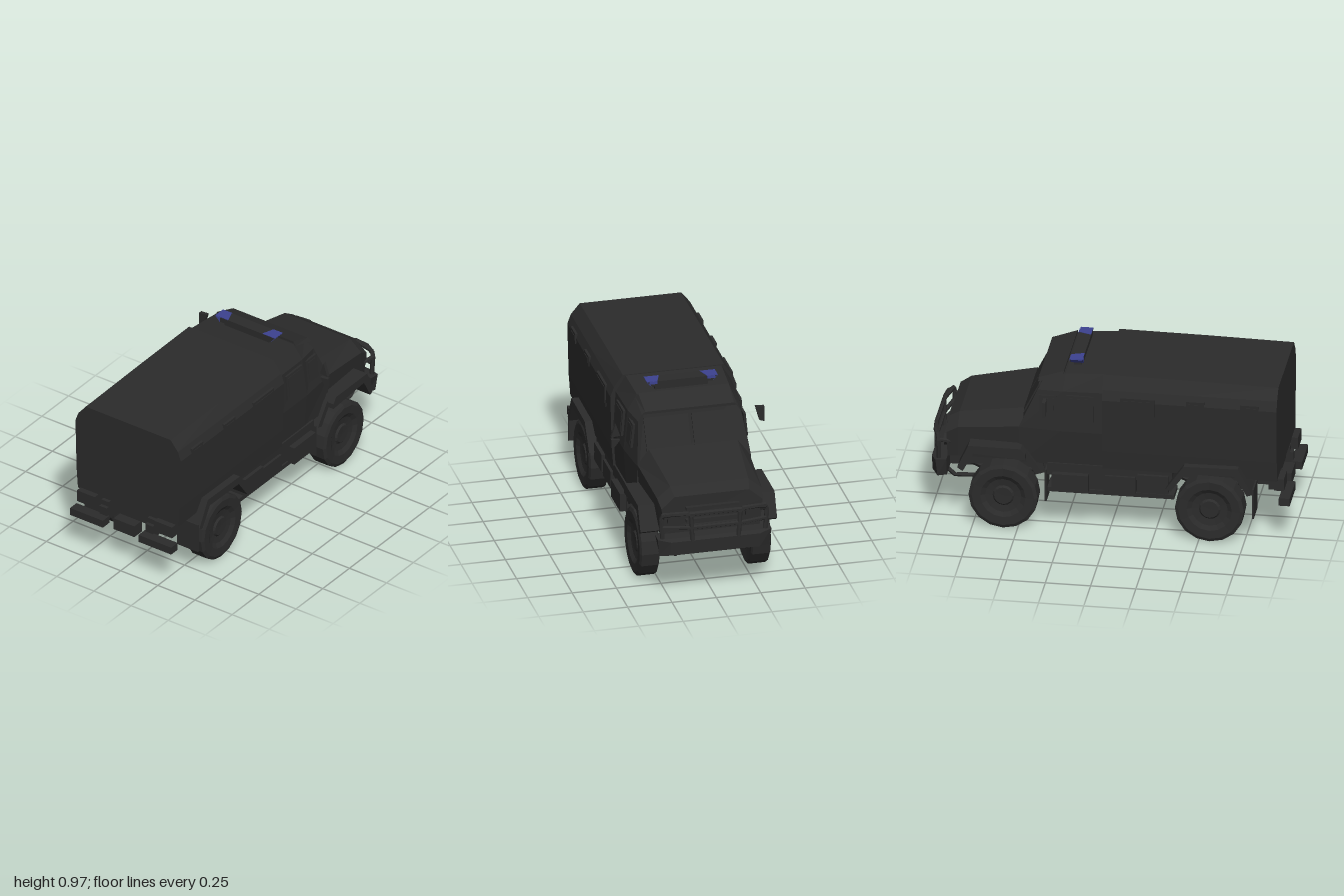
import * as THREE from 'three';

const paint = new THREE.MeshStandardMaterial({ color: 0x2b2b2b });
paint.name = 'charcoalPaint';
const blue = new THREE.MeshStandardMaterial({ color: 0x3c4290 });
blue.name = 'blueLens';

export function createModel() {
  const root = new THREE.Group();
  root.name = 'armouredTruck';

  // Faceted mesh from any geometry
  function add(name, geo, mat = paint, parent = root) {
    const g = geo.index ? geo.toNonIndexed() : geo;
    g.computeVertexNormals();
    const m = new THREE.Mesh(g, mat);
    m.name = name;
    parent.add(m);
    return m;
  }
  // Box given by its limits
  function box(name, x0, x1, y0, y1, z0, z1, mat) {
    const m = add(name, new THREE.BoxGeometry(x1 - x0, y1 - y0, z1 - z0), mat);
    m.position.set((x0 + x1) / 2, (y0 + y1) / 2, (z0 + z1) / 2);
    return m;
  }
  const boxPair = (name, x0, x1, ...rest) => {
    box(name + 'Left', x0, x1, ...rest);
    box(name + 'Right', -x1, -x0, ...rest);
  };
  // Closed loft: each ring is its +x half, bottom to top, mirrored; rings run towards -z
  function loft(name, halves) {
    const rings = halves.map(h => [...h, ...[...h].reverse().map(([x, y, z]) => [-x, y, z])]);
    const n = rings[0].length, pos = rings.flat(2), idx = [];
    for (let i = 0; i < rings.length - 1; i++) {
      for (let j = 0; j < n; j++) {
        const k = (j + 1) % n, a = i * n + j, b = i * n + k, c = b + n, d = a + n;
        idx.push(a, d, c, a, c, b);
      }
    }
    const last = (rings.length - 1) * n;
    for (let j = 1; j < n - 1; j++) idx.push(0, j, j + 1, last, last + j + 1, last + j);
    const g = new THREE.BufferGeometry();
    g.setAttribute('position', new THREE.Float32BufferAttribute(pos, 3));
    g.setIndex(idx);
    return add(name, g);
  }
  // Flat outline in (x, y), extruded along z from z0 to z1
  function plate(name, pts, z0, z1, mat) {
    const shape = new THREE.Shape(pts.map(p => new THREE.Vector2(...p)));
    const m = add(name, new THREE.ExtrudeGeometry(shape, { depth: z1 - z0, bevelEnabled: false }), mat);
    m.position.z = z0;
    return m;
  }
  // Side outline in (z, y), extruded across x on both sides
  function profilePair(name, pts, x0, x1) {
    for (const x of [x1, -x0]) {
      const m = plate(name, pts, 0, x1 - x0);
      m.rotation.y = -Math.PI / 2;
      m.position.x = x;
    }
  }
  // Round bar along a bent path
  function bar(name, pts, r = 0.012) {
    const path = new THREE.CurvePath();
    const v = pts.map(p => new THREE.Vector3(...p));
    for (let i = 1; i < v.length; i++) path.add(new THREE.LineCurve3(v[i - 1], v[i]));
    return add(name, new THREE.TubeGeometry(path, (v.length - 1) * 4, r, 6));
  }

  // Rear box body with chamfered roof edges
  const section = (z, low, top) =>
    [[0.338, low, z], [0.347, 0.5, z], [0.355, 0.81, z], [0.335, 0.865, z], [0.285, top, z]];
  loft('rearBody', [section(0.93, 0.378, 0.925), section(0.45, 0.39, 0.932), section(-0.035, 0.39, 0.935)]);

  // Cab with sloping windscreen
  loft('cab', [
    [[0.325, 0.39, -0.035], [0.34, 0.6, -0.035], [0.325, 0.84, -0.035], [0.27, 0.93, -0.035]],
    [[0.325, 0.39, -0.27], [0.34, 0.6, -0.27], [0.315, 0.83, -0.26], [0.26, 0.915, -0.25]],
    [[0.32, 0.39, -0.49], [0.32, 0.6, -0.5], [0.29, 0.82, -0.40], [0.25, 0.875, -0.37]],
  ]);
  loft('roofVisor', [
    [[0.27, 0.9, -0.26], [0.255, 0.925, -0.26]],
    [[0.27, 0.86, -0.4], [0.25, 0.875, -0.4]],
  ]);

  // Windscreen panes lie on the slope from hood to roof
  for (const s of [-1, 1]) {
    const pane = add('windscreenPane', new THREE.BoxGeometry(0.25, 0.19, 0.008));
    pane.position.set(s * 0.135, 0.752, -0.437);
    pane.rotation.x = 0.46;
  }

  // Bonnet and nose
  loft('bonnet', [
    [[0.3, 0.39, -0.48], [0.315, 0.6, -0.48], [0.25, 0.685, -0.48]],
    [[0.28, 0.38, -0.84], [0.295, 0.56, -0.84], [0.22, 0.622, -0.84]],
    [[0.27, 0.37, -0.9], [0.285, 0.52, -0.905], [0.21, 0.585, -0.9]],
  ]);
  for (let i = 0; i < 4; i++) box('grilleSlat', -0.15, 0.15, 0.4 + i * 0.036, 0.415 + i * 0.036, -0.922, -0.89);
  for (const s of [-1, 1]) {
    const lamp = add('headlamp', new THREE.CylinderGeometry(0.035, 0.035, 0.03, 10));
    lamp.rotation.x = Math.PI / 2;
    lamp.position.set(s * 0.22, 0.45, -0.908);
  }

  // Wheel arches with angular tops; the front ones narrow towards the doors
  profilePair('frontArch', [[-0.455, 0.46], [-0.48, 0.495], [-0.77, 0.495], [-0.83, 0.36], [-0.8, 0.34],
    [-0.74, 0.45], [-0.455, 0.43]], 0.27, 0.385);
  profilePair('frontArchTail', [[-0.365, 0.34], [-0.455, 0.47], [-0.47, 0.43], [-0.4, 0.33]], 0.27, 0.345);
  profilePair('rearArch', [[0.8, 0.31], [0.72, 0.46], [0.42, 0.455], [0.32, 0.31],
    [0.35, 0.3], [0.43, 0.41], [0.7, 0.415], [0.77, 0.3]], 0.27, 0.385);
  const liner = c => [[c + 0.21, 0.33], [c + 0.2, 0.42], [c - 0.2, 0.42], [c - 0.21, 0.33]];
  profilePair('frontArchLiner', liner(-0.58), 0.24, 0.26);
  profilePair('rearArchLiner', liner(0.56), 0.24, 0.26);
  boxPair('frontMudflap', 0.24, 0.345, 0.17, 0.36, -0.352, -0.342);
  boxPair('rearMudflap', 0.24, 0.382, 0.165, 0.34, 0.798, 0.808);

  // Wheels: square-shouldered faceted tyre with shallow dished hub
  const tyre = [[0, 0.04], [0.05, 0.042], [0.06, 0.032], [0.1, 0.037], [0.125, 0.052], [0.172, 0.055], [0.191, 0.046],
    [0.191, -0.05], [0.175, -0.057], [0.11, -0.05], [0.1, -0.03], [0, -0.03]]
    .reverse().map(p => new THREE.Vector2(...p));
  for (const z of [0.56, -0.58]) {
    for (const s of [-1, 1]) {
      const w = add('wheel', new THREE.LatheGeometry(tyre, 16));
      w.rotation.z = -s * Math.PI / 2;
      w.position.set(s * 0.315, 0.191, z);
      bar('leafSpring', [[s * 0.2, 0.32, z - 0.2], [s * 0.2, 0.235, z], [s * 0.2, 0.32, z + 0.2]], 0.02);
    }
    // Axle with differential
    const axle = add('axle', new THREE.CylinderGeometry(0.03, 0.03, 0.56, 8));
    axle.rotation.z = Math.PI / 2;
    axle.position.set(0, 0.195, z);
    const diff = add('differential', new THREE.IcosahedronGeometry(0.07, 1));
    diff.position.set(0, 0.21, z);
  }

  // Chassis, drivetrain and underbody boxes
  boxPair('chassisRail', 0.13, 0.18, 0.28, 0.36, -0.9, 0.93);
  for (const z of [-0.8, -0.35, 0.3, 0.8]) box('crossMember', -0.18, 0.18, 0.28, 0.34, z - 0.025, z + 0.025);
  box('gearbox', -0.1, 0.1, 0.22, 0.38, -0.4, 0.02);
  box('engineSump', -0.11, 0.11, 0.25, 0.39, -0.85, -0.66);
  const shaft = add('driveShaft', new THREE.CylinderGeometry(0.022, 0.022, 1.1, 8));
  shaft.rotation.x = Math.PI / 2;
  shaft.position.set(0, 0.235, 0);
  boxPair('sideSill', 0.2, 0.335, 0.33, 0.4, -0.34, 0.35);
  boxPair('stepBox', 0.22, 0.37, 0.245, 0.35, -0.31, -0.11);
  boxPair('batteryBox', 0.2, 0.32, 0.24, 0.35, -0.11, -0.02);
  boxPair('fuelTank', 0.2, 0.35, 0.25, 0.35, -0.02, 0.15);
  boxPair('stowageBox', 0.2, 0.355, 0.265, 0.37, 0.16, 0.33);
  boxPair('sideRunner', 0.2, 0.33, 0.225, 0.25, -0.34, 0.36);
  box('underbodyCap', -0.15, -0.115, 0.212, 0.245, -0.175, -0.14, blue);
  box('underbodyCapMount', -0.155, -0.1, 0.24, 0.3, -0.18, -0.13);

  // Rear bumpers, lamp blocks and tow hitch
  boxPair('rearBumper', 0.12, 0.34, 0.235, 0.28, 0.94, 1);
  boxPair('rearLampBlock', 0.2, 0.32, 0.315, 0.385, 0.91, 0.965);
  boxPair('bumperBracket', 0.13, 0.18, 0.25, 0.33, 0.86, 0.95);
  box('towHitch', -0.07, 0.07, 0.23, 0.3, 0.9, 0.97);
  box('rearCrossBeam', -0.2, 0.2, 0.3, 0.37, 0.86, 0.91);

  // Front bumper and brush guard
  loft('frontBumper', [
    [[0.3, 0.27, -0.9], [0.32, 0.37, -0.9]],
    [[0.31, 0.265, -0.95], [0.32, 0.365, -0.96]],
    [[0.25, 0.275, -0.985], [0.25, 0.355, -0.99]],
  ]);
  for (const s of [-1, 1]) {
    bar('guardSide', [[s * 0.29, 0.36, -0.945], [s * 0.3, 0.5, -0.945], [s * 0.24, 0.515, -0.97], [s * 0.14, 0.515, -0.98], [s * 0.13, 0.35, -0.98]], 0.013);
    bar('guardBrace', [[s * 0.3, 0.48, -0.945], [s * 0.27, 0.46, -0.88]]);
    bar('lowerBrace', [[s * 0.2, 0.27, -0.92], [s * 0.2, 0.225, -0.87], [s * 0.2, 0.23, -0.76]]);
  }
  for (const y of [0.43, 0.51]) bar('guardCrossBar', [[-0.29, y, -0.95], [-0.15, y, -0.98], [0.15, y, -0.98], [0.29, y, -0.95]]);

  // Side windows in thick frames; z, y, width, height, outer x, lean
  const windows = [[0.16, 0.77, 0.19, 0.13, 0.352], [0.48, 0.81, 0.1, 0.06, 0.354], [0.78, 0.81, 0.1, 0.06, 0.354],
    [-0.16, 0.74, 0.15, 0.15, 0.333, 0.08], [-0.34, 0.73, 0.1, 0.14, 0.318, 0.1]];
  for (const [z, y, w, h, x, lean = -0.02] of windows) {
    for (const s of [-1, 1]) {
      const g = new THREE.Group();
      g.name = 'sideWindow';
      add('windowFrame', new THREE.BoxGeometry(0.014, h, w), paint, g);
      add('windowPane', new THREE.BoxGeometry(0.008, h - 0.03, w - 0.03), paint, g).position.x = s * 0.006;
      g.position.set(s * x, y, z);
      g.rotation.z = s * lean;
      root.add(g);
    }
  }

  // Mirrors: split pair on the left, single on the right
  plate('mirrorLeftUpper', [[0.38, 0.725], [0.43, 0.72], [0.405, 0.8]], -0.355, -0.335);
  plate('mirrorLeftLower', [[0.38, 0.7], [0.41, 0.66], [0.43, 0.655], [0.43, 0.705]], -0.355, -0.335);
  plate('mirrorRight', [[-0.433, 0.72], [-0.405, 0.73], [-0.382, 0.815], [-0.433, 0.81]], -0.355, -0.335);

  // Roof light bar with blue ends
  const barEnd = z => [[0.17, 0.942, z], [0.198, 0.972, z]];
  loft('lightBar', [barEnd(-0.165), barEnd(-0.235)]);
  box('lightBarMount', -0.15, 0.15, 0.91, 0.945, -0.22, -0.18);
  for (const s of [-1, 1]) {
    const lens = plate('blueLensTop', [[s * 0.2, 0.165], [s * 0.2, 0.235], [s * 0.14, 0.235], [s * 0.115, 0.165]], 0, 0.003, blue);
    lens.rotation.x = -Math.PI / 2;
    lens.position.y = 0.9715;
  }
  // Blue lens facing forwards, sides and, on the right end, backwards
  boxPair('blueLensFace', 0.14, 0.185, 0.957, 0.972, -0.238, -0.234, blue);
  for (const s of [-1, 1]) {
    const side = add('blueLensSide', new THREE.BoxGeometry(0.004, 0.036, 0.066), blue);
    side.position.set(s * 0.185, 0.957, -0.2);
    side.rotation.z = -s * 0.75;
  }
  plate('blueLensRear', [[-0.2, 0.972], [-0.17, 0.942], [-0.168, 0.972]], -0.166, -0.162, blue);

  return root;
}
